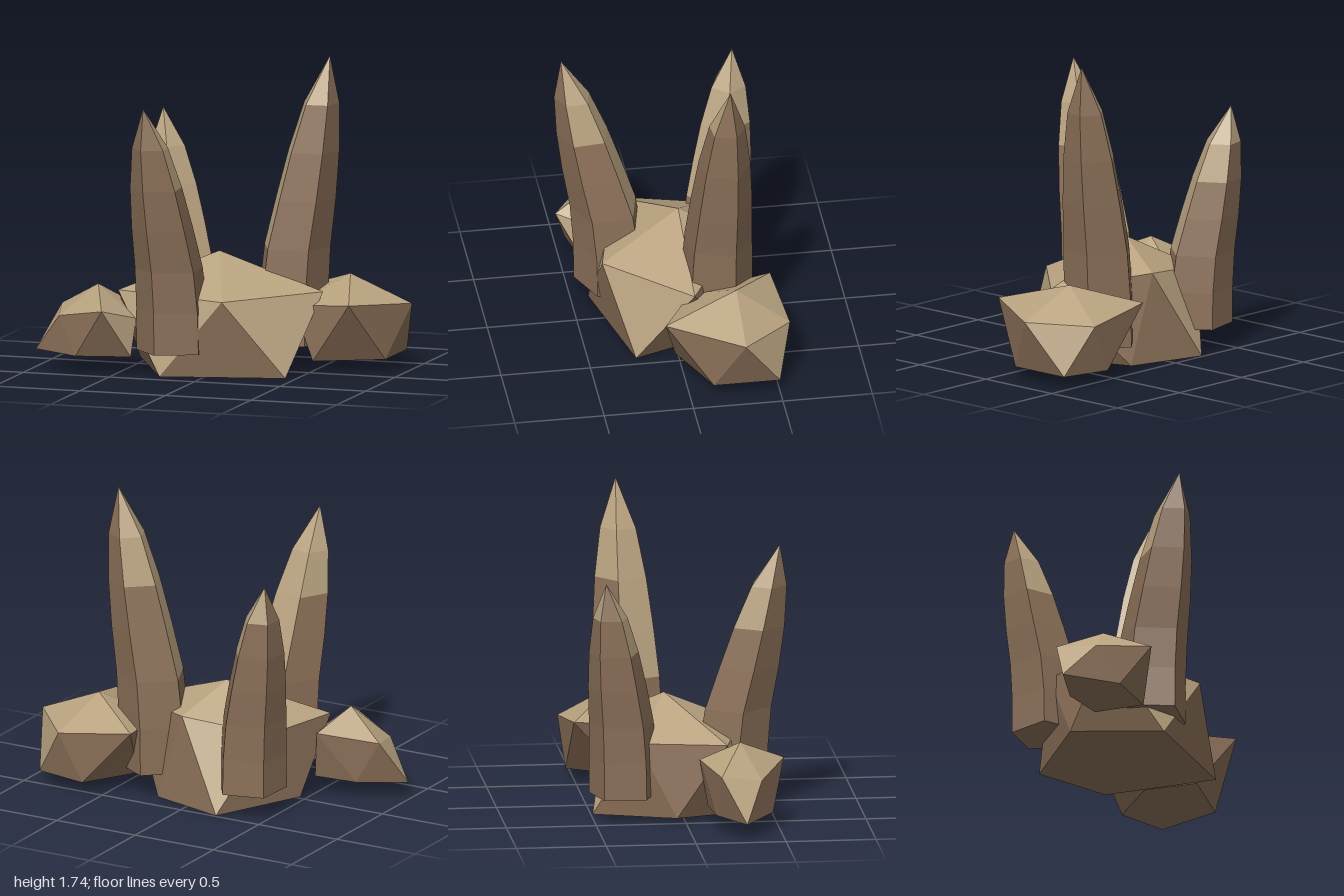
import * as THREE from 'three';
import { ConvexGeometry } from 'three/addons/geometries/ConvexGeometry.js';

const stone = new THREE.MeshStandardMaterial({ color: 0x8b7058, flatShading: true });
stone.name = 'brownStone';
const sand = new THREE.MeshStandardMaterial({ color: 0xb8a27f, flatShading: true });
sand.name = 'paleSand';

// Faces that tilt upwards are sandy, the others are bare stone
function facetedMesh(name, triangles) {
  const sides = [[], []];
  const n = new THREE.Vector3();
  for (const t of triangles) {
    new THREE.Triangle(...t).getNormal(n);
    sides[n.y > 0.207 ? 1 : 0].push(...t);
  }
  const geo = new THREE.BufferGeometry().setFromPoints([...sides[0], ...sides[1]]);
  geo.addGroup(0, sides[0].length, 0);
  geo.addGroup(sides[0].length, sides[1].length, 1);
  geo.computeVertexNormals();
  const mesh = new THREE.Mesh(geo, [stone, sand]);
  mesh.name = name;
  return mesh;
}

// Boulder: convex hull of a few corners
function boulder(name, corners) {
  const hull = new ConvexGeometry(corners.map((c) => new THREE.Vector3(...c)));
  const p = hull.getAttribute('position');
  const triangles = [];
  for (let i = 0; i < p.count; i += 3) {
    triangles.push([0, 1, 2].map((k) => new THREE.Vector3().fromBufferAttribute(p, i + k)));
  }
  return facetedMesh(name, triangles);
}

// Spike: five-sided rings that shrink and bend away from the base towards the tip
const WIDTH = [1, 0.985, 0.94, 0.85, 0.72, 0.5, 0];
const LEAN = [0, 0.02, 0.12, 0.34, 0.55, 0.76, 1];
function spike(name, base, tip, radius, turn) {
  const from = new THREE.Vector3(...base);
  const to = new THREE.Vector3(...tip);
  const rings = WIDTH.map((w, i) => {
    const x = THREE.MathUtils.lerp(from.x, to.x, LEAN[i]);
    const y = THREE.MathUtils.lerp(from.y, to.y, i / 6);
    const z = THREE.MathUtils.lerp(from.z, to.z, LEAN[i]);
    return Array.from({ length: 5 }, (_, j) => {
      const a = THREE.MathUtils.degToRad(turn + 72 * j);
      return new THREE.Vector3(x + Math.cos(a) * w * radius, y, z + Math.sin(a) * w * radius);
    });
  });
  const triangles = [];
  for (let j = 0; j < 5; j++) {
    const k = (j + 1) % 5;
    triangles.push([from, rings[0][j], rings[0][k]]);
    for (let i = 0; i < 6; i++) {
      const lo = rings[i], hi = rings[i + 1];
      triangles.push([lo[j], hi[j], lo[k]]);
      if (i < 5) triangles.push([hi[j], hi[k], lo[k]]);
    }
  }
  return facetedMesh(name, triangles);
}

export function createModel() {
  const group = new THREE.Group();
  group.name = 'rockSpikes';

  group.add(
    boulder('mainBoulder', [
      [-0.05, 0.645, -0.075], [-0.54, 0.445, 0.225], [0.115, 0.43, 0.375], [0.555, 0.445, -0.075],
      [0.06, 0.5, -0.38], [-0.42, 0.44, -0.26],
      [0.44, 0, 0.235], [-0.24, 0, 0.4], [-0.505, 0.03, -0.05], [-0.22, 0, -0.49], [0.22, 0, -0.37],
    ]),
    boulder('rightBoulder', [
      [-0.635, 0.485, 0.285], [-0.89, 0.345, 0.155], [-0.83, 0.31, 0.385], [-0.53, 0.37, 0.54],
      [-0.54, 0.37, 0.07], [-0.415, 0.3, 0.28],
      [-1, 0.1, 0.285], [-0.71, 0.1, 0.46], [-0.41, 0.1, 0.39], [-0.75, 0.1, 0.14], [-0.5, 0.1, 0.12],
    ]),
    boulder('leftBoulder', [
      [0.64, 0.52, -0.295], [0.77, 0.405, 0.12], [1, 0.37, -0.295], [0.735, 0.345, -0.58],
      [0.3, 0.4, -0.535], [0.38, 0.36, -0.08],
      [0.9, 0.075, -0.5], [0.9, 0.075, -0.13], [0.53, 0.07, 0.03], [0.6, 0.07, -0.55], [0.42, 0.07, -0.25],
    ]),
    spike('frontSpike', [-0.2, 0.13, 0.275], [-0.285, 1.52, 0.545], 0.21, 30),
    spike('leftSpike', [0.31, 0.13, -0.23], [0.525, 1.735, -0.28], 0.21, 49),
    spike('backSpike', [-0.35, 0.14, -0.33], [-0.505, 1.37, -0.445], 0.2, 3),
  );
  return group;
}
